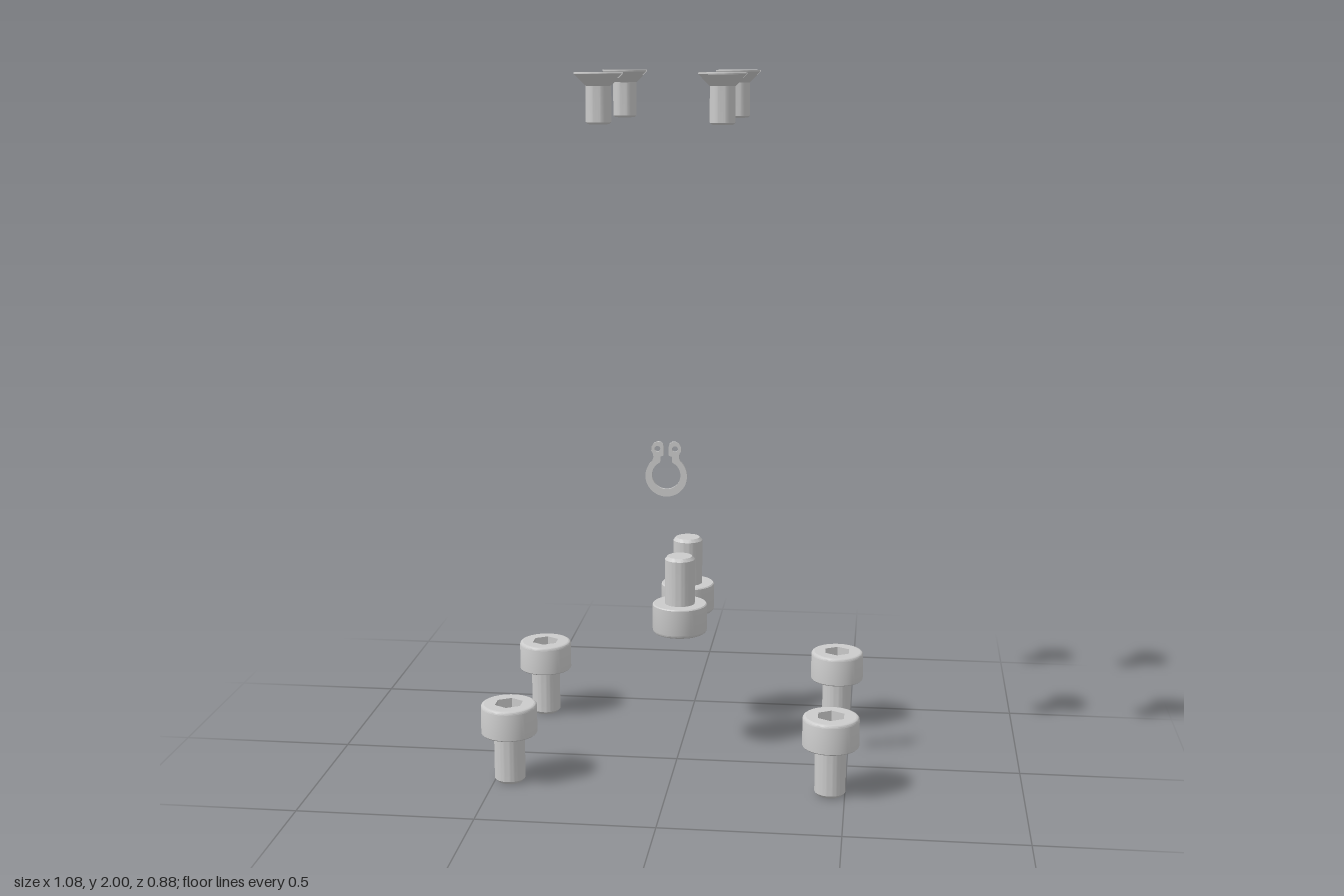
import * as THREE from 'three';
import { toCreasedNormals } from 'three/addons/utils/BufferGeometryUtils.js';
import { ConvexGeometry } from 'three/addons/geometries/ConvexGeometry.js';

const material = new THREE.MeshStandardMaterial({ color: 0xcccccc });

function part(name, geometry) {
  const mesh = new THREE.Mesh(toCreasedNormals(geometry, 0.5), material);
  mesh.name = name;
  return mesh;
}

// Profile points are [radius, y]; listed upwards they face outwards.
function lathe(points, segments = 48) {
  return new THREE.LatheGeometry(points.map(p => new THREE.Vector2(...p)), segments);
}

// Cap screw standing on its tip, with a hexagonal socket in the head.
function capScrew() {
  const screw = new THREE.Group();
  const height = 0.231, headBase = 0.143, headR = 0.08, shankR = 0.044;
  const fillet = 0.009, hexR = 0.042;

  screw.add(part('shank', lathe([
    [0, 0], [0.036, 0], [shankR, 0.009], [shankR, headBase]
  ])));

  const profile = [[shankR, headBase], [headR - 0.003, headBase], [headR, headBase + 0.003]];
  for (let i = 0; i <= 4; i++) {
    const a = i / 4 * Math.PI / 2;
    profile.push([headR - fillet + fillet * Math.cos(a), height - fillet + fillet * Math.sin(a)]);
  }
  screw.add(part('head', lathe(profile)));

  // Flat top face around the socket
  const face = new THREE.Shape().absarc(0, 0, headR - fillet, 0, Math.PI * 2);
  const hex = [];
  for (let i = 0; i < 6; i++) {
    const a = i / 6 * Math.PI * 2;
    hex.push(new THREE.Vector2(hexR * Math.sin(a), hexR * Math.cos(a)));
  }
  face.holes.push(new THREE.Path(hex));
  const top = new THREE.ShapeGeometry(face, 24).rotateX(-Math.PI / 2).translate(0, height, 0);
  screw.add(part('headFace', top));

  // Socket walls and pointed floor, facing inwards
  screw.add(part('hexSocket', lathe([
    [hexR, height], [hexR, height - 0.048], [0, height - 0.06]
  ], 6)));
  return screw;
}

// Slotted countersunk screw, tip at y = 0, slot along x.
function countersunkScrew() {
  const screw = new THREE.Group();
  const height = 0.131, headR = 0.063, shankR = 0.033;
  const rim = 0.004, slotDepth = 0.014, halfSlot = 0.012;
  const floorY = height - slotDepth, floorR = headR - (slotDepth - rim);

  screw.add(part('shank', lathe([
    [0, 0], [shankR - 0.005, 0], [shankR, 0.005], [shankR, height - rim - (headR - shankR)]
  ])));
  screw.add(part('headCone', lathe([
    [shankR, height - rim - (headR - shankR)], [floorR, floorY], [0, floorY]
  ])));

  // Raised head halves on either side of the slot
  for (const side of [-1, 1]) {
    const points = [];
    for (const [r, y] of [[floorR, floorY], [headR, height - rim], [headR, height]]) {
      const start = Math.asin(halfSlot / r);
      for (let i = 0; i <= 24; i++) {
        const a = start + (Math.PI - 2 * start) * i / 24;
        points.push(new THREE.Vector3(r * Math.cos(a), y, side * r * Math.sin(a)));
      }
    }
    screw.add(part(side > 0 ? 'headHalfFront' : 'headHalfBack', new ConvexGeometry(points)));
  }
  return screw;
}

// Flat retaining ring with two drilled ears, centred on its ring.
function retainingRing() {
  const half = [];
  const arc = (r, cy, from, to) => {
    for (let i = 0; i <= 24; i++) {
      const a = THREE.MathUtils.degToRad(from + (to - from) * i / 24);
      half.push([r * Math.cos(a), cy + r * Math.sin(a)]);
    }
  };
  arc(0.057, 0, -90, 48);
  half.push([0.035, 0.052], [0.036, 0.062], [0.041, 0.07], [0.04, 0.082], [0.034, 0.091],
    [0.025, 0.096], [0.015, 0.095], [0.009, 0.09], [0.007, 0.082], [0.007, 0.058],
    [0.016, 0.054], [0.016, 0.042]);
  arc(0.039, 0.003, 64, -90);
  const mirrored = half.slice(1, -1).reverse().map(([x, y]) => [-x, y]);
  const shape = new THREE.Shape([...half, ...mirrored].map(p => new THREE.Vector2(...p)));
  for (const x of [-0.024, 0.024]) {
    shape.holes.push(new THREE.Path().absarc(x, 0.076, 0.008, 0, Math.PI * 2, true));
  }
  const geometry = new THREE.ExtrudeGeometry(shape, { depth: 0.008, bevelEnabled: false, curveSegments: 10 });
  return part('retainingRing', geometry.translate(0, 0, -0.004));
}

export function createModel() {
  const model = new THREE.Group();
  const place = (object, name, x, y, z) => {
    object.name = name;
    object.position.set(x, y, z);
    model.add(object);
    return object;
  };

  for (const x of [-1, 1]) {
    const side = x > 0 ? 'Left' : 'Right';
    // Four upright cap screws at the lower corners
    place(capScrew(), 'capScrewFront' + side, x * 0.458, 0, 0.211);
    place(capScrew(), 'capScrewBack' + side, x * 0.458, 0, -0.361);
    // Four countersunk screws at the top
    place(countersunkScrew(), 'countersunkScrewFront' + side, x * 0.16, 1.869, 0.373);
    place(countersunkScrew(), 'countersunkScrewBack' + side, x * 0.16, 1.869, -0.109);
  }

  // Two inverted cap screws, heads down
  place(capScrew(), 'invertedScrewFront', 0, 0.601, -0.074).rotation.x = Math.PI;
  place(capScrew(), 'invertedScrewBack', 0, 0.601, -0.292).rotation.x = Math.PI;

  place(retainingRing(), 'retainingRing', 0, 0.917, 0.254);
  return model;
}
